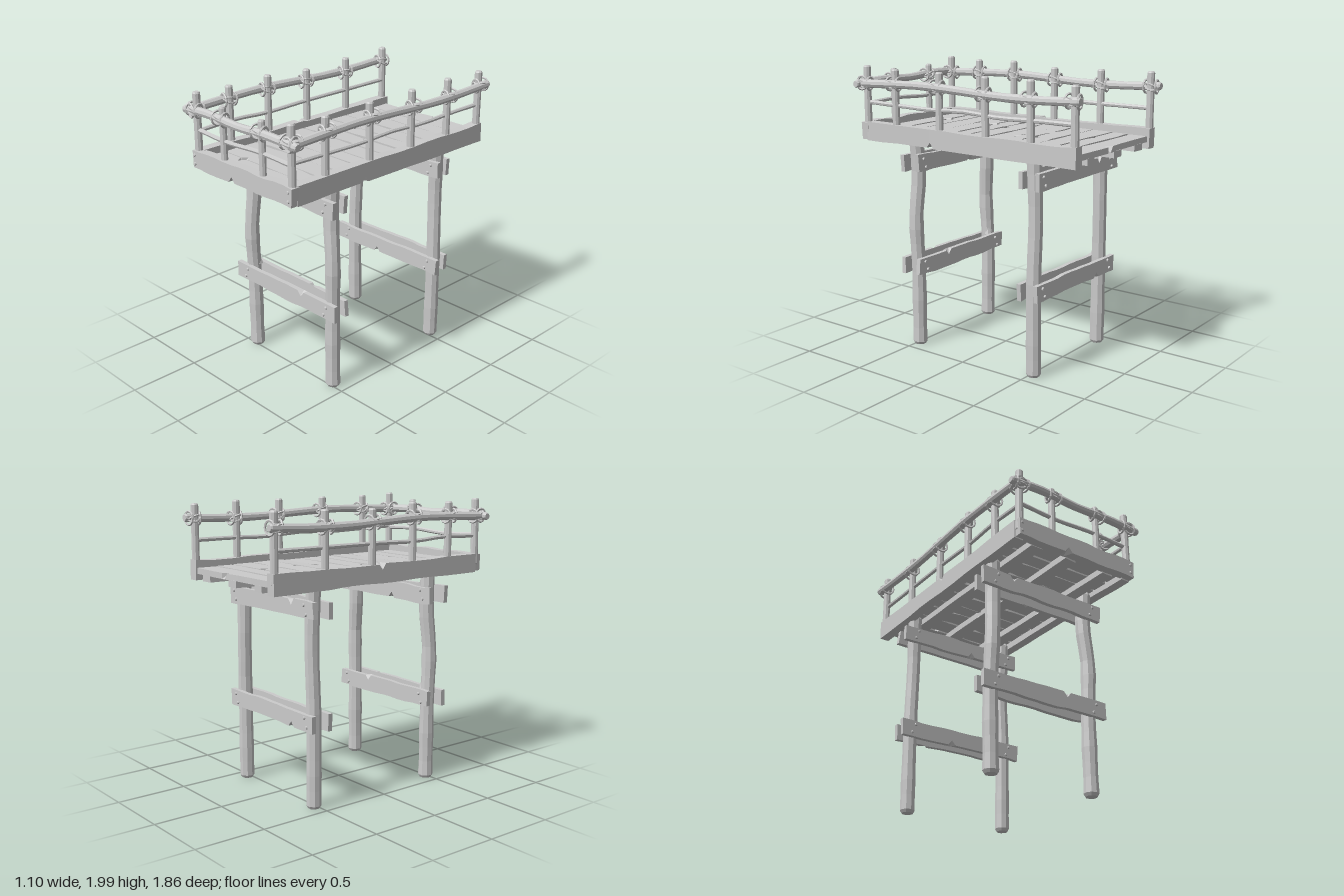
import * as THREE from 'three';

const V = (x, y, z) => new THREE.Vector3(x, y, z);
const wood = new THREE.MeshStandardMaterial({ color: 0xcccccc, flatShading: true });

// Repeatable noise in -1..1
const noise = (n) => {
  const s = Math.sin(n * 127.1 + 11.7) * 43758.5453;
  return (s - Math.floor(s)) * 2 - 1;
};

function add(parent, name, geometry) {
  const mesh = new THREE.Mesh(geometry, wood);
  mesh.name = name;
  parent.add(mesh);
  return mesh;
}

// Round pole following a gently bent path, with worn ends
function pole(parent, name, path, radius, sides = 9) {
  const curve = new THREE.CatmullRomCurve3(path);
  const axis = path[path.length - 1].clone().sub(path[0]).normalize();
  const turn = new THREE.Quaternion().setFromUnitVectors(V(0, 1, 0), axis);
  const rows = path.length > 2 ? 16 : 4;
  const bevel = (radius * 0.4) / curve.getLength();
  const g = new THREE.CylinderGeometry(radius, radius, 1, sides, rows);
  const p = g.attributes.position;
  for (let i = 0; i < p.count; i++) {
    const row = Math.round((p.getY(i) + 0.5) * rows);
    const end = row === 0 || row === rows;
    const t = end ? row / rows : bevel + ((row - 1) / (rows - 2)) * (1 - 2 * bevel);
    const offset = V(p.getX(i), 0, p.getZ(i)).multiplyScalar(end ? 0.78 : 1 + 0.05 * noise(row + radius * 91));
    offset.applyQuaternion(turn).add(curve.getPointAt(t));
    p.setXYZ(i, offset.x, offset.y, offset.z);
  }
  return add(parent, name, g);
}

// Rough board along x: wavy edges, skewed ends and a chip on one edge
function board(parent, name, length, width, thick, seed, wobble = 0.006) {
  const n = 12;
  const g = new THREE.BoxGeometry(length, width, thick, n, 1, 1);
  const p = g.attributes.position;
  const chip = 3 + Math.floor((noise(seed) + 1) * 3.4);
  const chipSide = noise(seed + 5) > 0 ? 1 : -1;
  for (let i = 0; i < p.count; i++) {
    let x = p.getX(i), y = p.getY(i);
    const z = p.getZ(i), side = Math.sign(y);
    const k = Math.round((x / length + 0.5) * n);
    y += wobble * noise(seed * 3.1 + Math.floor(k / 2) * 7.3 + side);
    if (k === 0 || k === n) x -= Math.sign(x) * 0.008 * (1 + noise(seed + k + side * 2));
    if (side === chipSide && Math.abs(k - chip) < 2) {
      x += (k - chip) * (0.03 - length / n);
      if (k === chip && z > 0) y -= side * width * 0.32;
    }
    p.setXY(i, x, y);
  }
  return add(parent, name, g);
}

function nail(parent, x, y, z, dir) {
  const m = add(parent, 'nail', new THREE.CylinderGeometry(0.009, 0.012, 0.012, 8));
  m.rotation.x = (dir * Math.PI) / 2;
  m.position.set(x, y, z);
}

// Rope lashing where a post meets a rail: crossed loops plus bands along the rail
function lashing(parent, x, y, z, yaw) {
  const g = new THREE.Group();
  g.name = 'lashing';
  const loop = (rx, ry, px) => {
    const m = add(g, 'rope', new THREE.TorusGeometry(0.041, 0.008, 5, 12));
    m.rotation.set(rx, ry, 0, 'YXZ');
    m.position.x = px;
    m.scale.set(1, 1.1, 1);
  };
  for (const s of [-1, 1]) {
    loop(Math.PI / 2 + s * 0.5, s * 0.5, 0);
    loop(0, Math.PI / 2 + s * 0.2, s * 0.038);
  }
  g.position.set(x, y, z);
  g.rotation.y = yaw;
  parent.add(g);
}

export function createModel() {
  const model = new THREE.Group();
  model.name = 'woodenPlatform';
  const group = (name) => {
    const g = new THREE.Group();
    g.name = name;
    model.add(g);
    return g;
  };

  // Four bent legs
  const legs = group('legs');
  pole(legs, 'frontRightLeg', [V(-0.405, 0.01, 0.48), V(-0.41, 0.6, 0.48), V(-0.405, 0.95, 0.495), V(-0.39, 1.25, 0.475), V(-0.395, 1.52, 0.48)], 0.052);
  pole(legs, 'frontLeftLeg', [V(0.395, 0.01, 0.48), V(0.395, 0.6, 0.48), V(0.405, 0.95, 0.485), V(0.38, 1.25, 0.475), V(0.395, 1.52, 0.48)], 0.052);
  for (const s of [-1, 1])
    pole(legs, 'backLeg', [V(s * 0.398, 0.01, -0.53), V(s * 0.4, 0.7, -0.53), V(s * 0.39, 1.1, -0.535), V(s * 0.398, 1.52, -0.525)], 0.05);
  // Broken knot on a front leg
  const knot = add(legs, 'knot', new THREE.ConeGeometry(0.03, 0.09, 6));
  knot.position.set(-0.385, 0.71, 0.46);

  // Paired cross braces clamping each leg pair
  const braces = group('braces');
  [0.48, -0.53].forEach((z, zi) => {
    [[-0.02, 1.35], [-0.01, 0.61]].forEach(([x, y], yi) => {
      for (const s of [-1, 1]) {
        const seed = zi * 9 + yi * 4 + s + 2;
        const b = board(braces, 'brace', s > 0 ? 1.01 : 0.97, 0.115, 0.032, seed);
        b.position.set(x, y, z + s * 0.058);
        b.rotation.z = 0.012 * noise(seed + 2);
        if (s < 0) b.rotation.y = Math.PI;
        for (const nx of [-0.41, 0.395])
          for (const ny of [-0.03, 0.03]) nail(braces, nx + ny * 0.4, y + ny, z + s * 0.079, s);
      }
    });
  });

  // Side beams, front beam and lengthwise joists
  const frame = group('frame');
  for (const s of [-1, 1]) {
    const b = board(frame, 'sideBeam', 1.76, 0.13, 0.07, 23 + s * 2);
    b.rotation.y = (s * Math.PI) / 2;
    b.position.set(s * 0.455, 1.542, -0.02);
  }
  board(frame, 'frontBeam', 0.99, 0.125, 0.065, 31).position.set(0, 1.545, 0.875);
  for (const s of [-1, 1])
    for (const y of [1.515, 1.575]) nail(frame, s * 0.462, y, 0.911, 1);
  for (const x of [-0.3, -0.02, 0.3]) {
    const j = board(frame, 'joist', 1.74, 0.09, 0.045, 41 + x * 10, 0.004);
    j.rotation.set(-Math.PI / 2, 0, Math.PI / 2);
    j.position.set(x, 1.498, -0.02);
  }

  // Deck planks of uneven width
  const deck = group('deck');
  const seams = [-0.89, -0.735, -0.605, -0.445, -0.295, -0.175, -0.025, 0.125, 0.255, 0.415, 0.57, 0.695, 0.85];
  for (let i = 0; i < 12; i++) {
    const width = seams[i + 1] - seams[i] - 0.014;
    const p = board(deck, 'plank', 0.87, width, 0.04, 50 + i * 1.7, 0.008);
    p.rotation.set(-Math.PI / 2 + 0.02 * noise(i), 0, 0.008 * noise(i + 70));
    p.position.set(0, 1.54 + 0.004 * noise(i + 30), (seams[i] + seams[i + 1]) / 2);
  }

  // Railing on both sides and the front
  const railing = group('railing');
  const sidePosts = {
    '-1': [-0.87, -0.48, -0.09, 0.27, 0.6, 0.87],
    '1': [-0.87, -0.54, -0.18, 0.21, 0.6, 0.87],
  };
  const railY = (z) => 1.885 + 0.012 * Math.sin(z * 4.2 + 0.2);
  for (const s of [-1, 1]) {
    sidePosts[s].forEach((z, i) => {
      const top = i === 5 ? 2 : 1.98 + 0.018 * noise(i * 3 + s);
      pole(railing, 'post', [V(s * 0.46, 1.53, z), V(s * (0.46 + 0.004 * noise(i)), top, z)], 0.026);
      lashing(railing, s * 0.475, railY(z), z, Math.PI / 2);
    });
    const zs = [-0.93, -0.6, -0.3, 0, 0.3, 0.6, 0.92];
    pole(railing, 'sideTopRail', zs.map((z) => V(s * 0.497, railY(z), z)), 0.029);
    pole(railing, 'sideMiddleRail', zs.map((z, i) => V(s * 0.455, 1.74 + 0.008 * noise(i + s), z * 0.95)), 0.015, 7);
  }
  for (const x of [-0.19, 0.19]) pole(railing, 'post', [V(x, 1.53, 0.87), V(x, 1.96, 0.87)], 0.024);
  for (const x of [-0.46, -0.19, 0.19, 0.46]) lashing(railing, x, 1.882, 0.885, 0);
  pole(railing, 'frontTopRail', [V(-0.55, 1.875, 0.9), V(-0.3, 1.89, 0.9), V(0, 1.875, 0.9), V(0.25, 1.885, 0.9), V(0.55, 1.875, 0.9)], 0.028);
  pole(railing, 'frontMiddleRail', [V(-0.47, 1.745, 0.87), V(-0.15, 1.73, 0.87), V(0.15, 1.745, 0.87), V(0.47, 1.735, 0.87)], 0.015, 7);

  return model;
}
